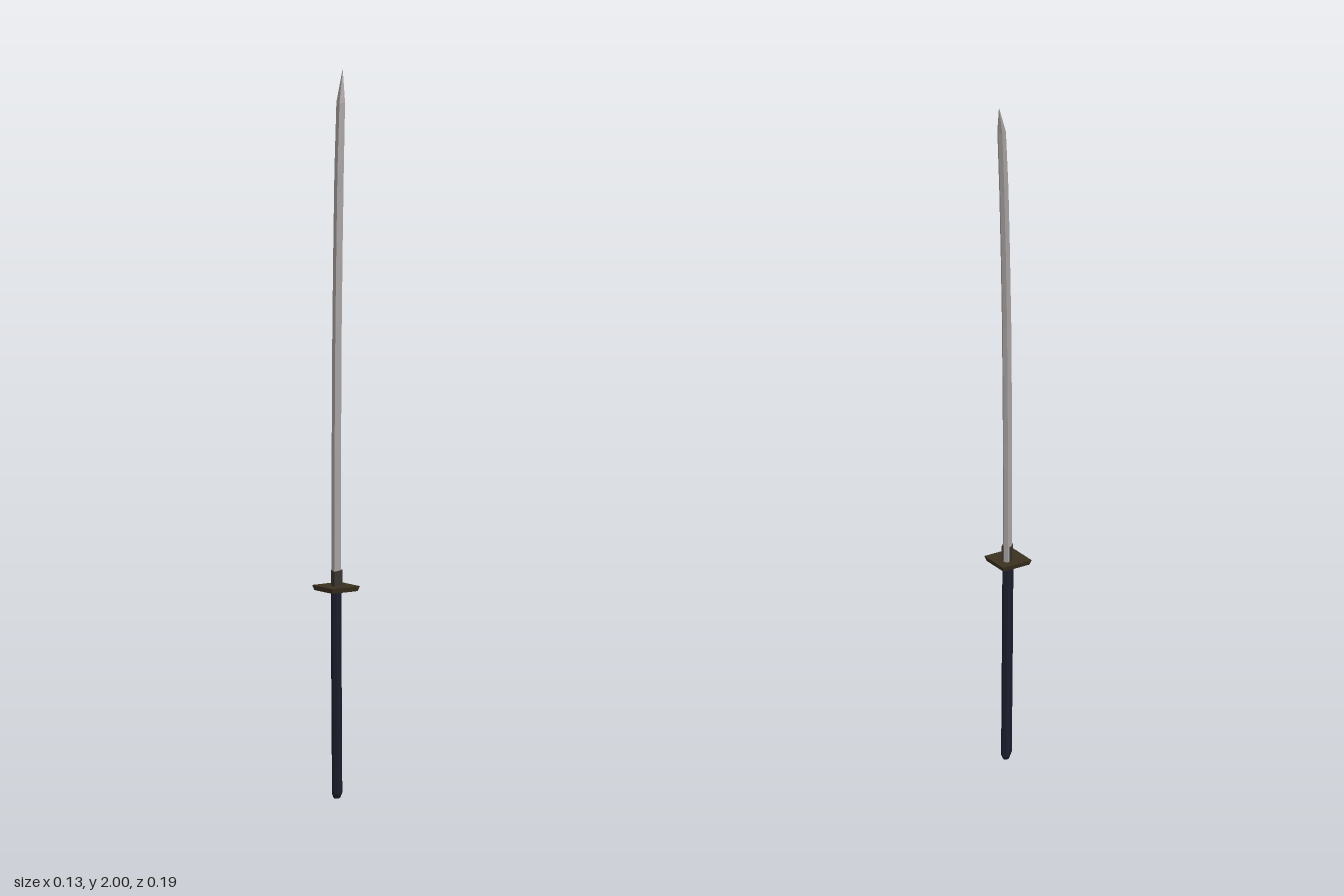
import * as THREE from 'three';

const material = (name, color) => {
  const m = new THREE.MeshStandardMaterial({ color, flatShading: true });
  m.name = name;
  return m;
};

// Lofts an outline of [x, t] points (t: 0 = back, 1 = front) through
// sections of [y, zFront, zBack, halfWidth], with both ends capped.
function loft(name, outline, sections, mat) {
  const n = outline.length, pos = [], index = [];
  for (const [y, zf, zb, w] of sections)
    for (const [x, t] of outline) pos.push(x * w, y, zb + (zf - zb) * t);
  for (let s = 0; s < sections.length - 1; s++)
    for (let i = 0; i < n; i++) {
      const a = s * n + i, b = s * n + (i + 1) % n;
      index.push(a, b, b + n, a, b + n, a + n);
    }
  const top = (sections.length - 1) * n;
  for (let i = 1; i < n - 1; i++) index.push(0, i + 1, i, top, top + i, top + i + 1);
  const g = new THREE.BufferGeometry();
  g.setAttribute('position', new THREE.Float32BufferAttribute(pos, 3));
  g.setIndex(index);
  const flat = g.toNonIndexed();
  flat.computeVertexNormals();
  const mesh = new THREE.Mesh(flat, mat);
  mesh.name = name;
  return mesh;
}

export function createModel() {
  const steel = material('steel', 0xa8a2a2);
  const bronze = material('dark bronze', 0x3a3120);
  const collarMetal = material('collar metal', 0x3a352f);
  const wrap = material('navy wrap', 0x1b1d2d);
  const model = new THREE.Group();
  model.name = 'curvedSword';

  // Blade: sharp front edge, ridge along each side, narrow spine
  const bladeOutline = [[0, 1], [1, 0.42], [0.45, 0], [-0.45, 0], [-1, 0.42]];
  model.add(loft('blade', bladeOutline, [
    [0.585, 0.051, -0.003, 0.013],
    [0.95, 0.051, -0.004, 0.013],
    [1.3, 0.037, -0.015, 0.013],
    [1.53, 0.018, -0.032, 0.013],
    [1.73, -0.001, -0.052, 0.013],
    [1.915, -0.038, -0.076, 0.012],
    [2.0, -0.094, -0.095, 0.0004],
  ], steel));

  // Collar hugging the blade root
  const collarOutline = [[0, 1], [1, 0.4], [1, 0], [-1, 0], [-1, 0.4]];
  model.add(loft('collar', collarOutline, [
    [0.585, 0.053, 0.006, 0.0145],
    [0.632, 0.053, 0.006, 0.0145],
  ], collarMetal));

  // Diamond guard, slightly wider at the top
  const guard = new THREE.Mesh(new THREE.CylinderGeometry(0.066, 0.06, 0.014, 4), bronze);
  guard.name = 'guard';
  guard.position.set(0, 0.583, 0.025);
  model.add(guard);

  // Handle: bevelled grip leaning back toward a blunt pommel
  const gripOutline = [[0.45, 1], [1, 0.78], [1, 0.22], [0.45, 0],
    [-0.45, 0], [-1, 0.22], [-1, 0.78], [-0.45, 1]];
  model.add(loft('handle', gripOutline, [
    [0.0, 0.024, -0.014, 0.008],
    [0.012, 0.03, -0.022, 0.012],
    [0.2, 0.039, -0.016, 0.012],
    [0.4, 0.048, -0.01, 0.012],
    [0.578, 0.053, -0.006, 0.012],
  ], wrap));

  return model;
}
